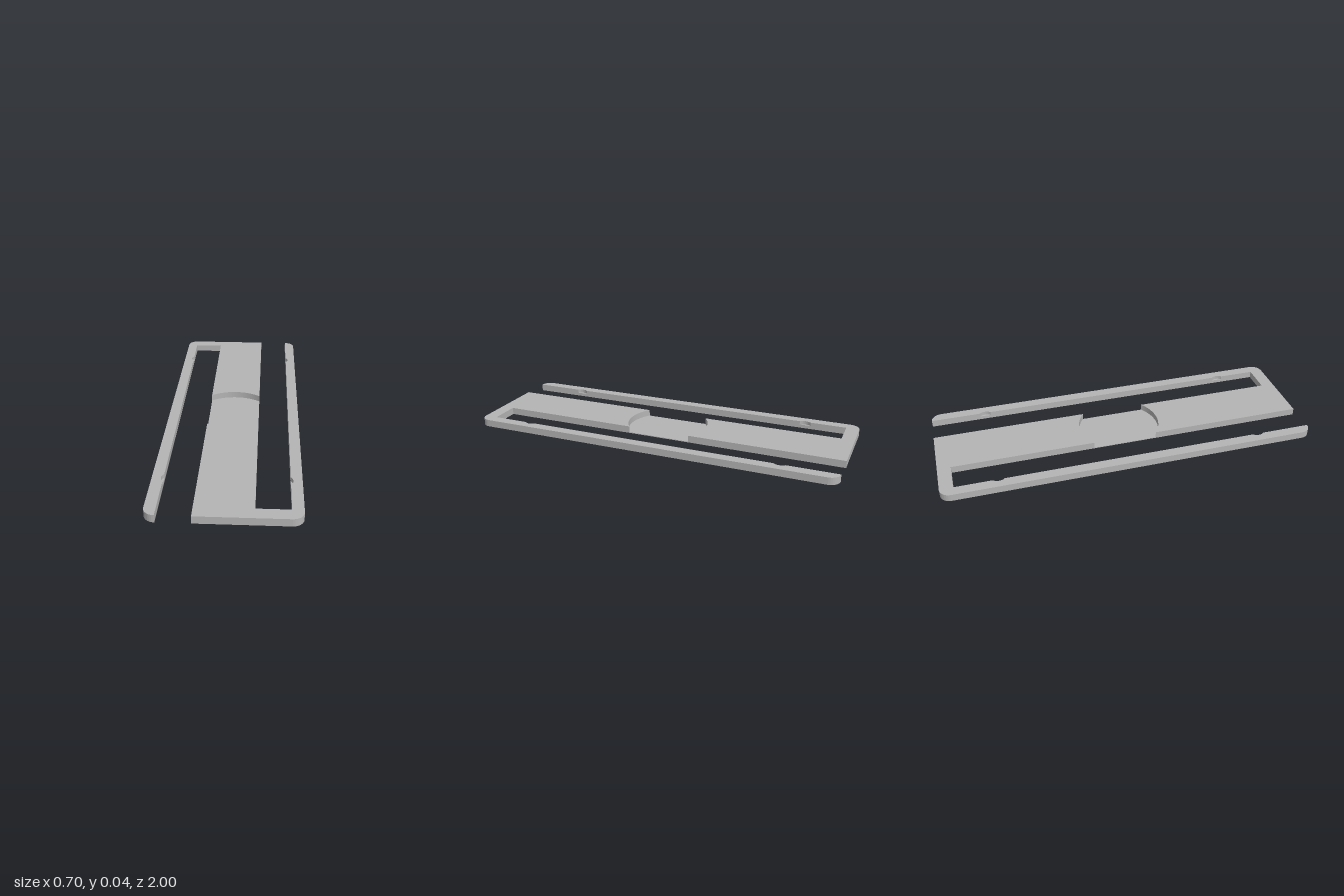
import * as THREE from 'three';
import { toCreasedNormals } from 'three/addons/utils/BufferGeometryUtils.js';

const HEIGHT = 0.038, POCKET_Y = 0.018, FLOOR = 0.004;
const OUTER = 0.352, INNER = 0.297, CORNER = OUTER - INNER;
const PLATE = 0.137, SLOT_END = 0.93, RECESS = 0.22;
const ARC_ANGLE = Math.acos(PLATE / RECESS);
const ARC_Z = RECESS * Math.sin(ARC_ANGLE);

// Extrudes a plan drawn in x, z between two heights
function slab(shape, y0, y1) {
  const g = new THREE.ExtrudeGeometry(shape, { depth: y1 - y0, bevelEnabled: false, curveSegments: 24 });
  g.rotateX(Math.PI / 2);
  g.translate(0, y1, 0);
  return toCreasedNormals(g, 0.5);
}

// One half: plate up to the round recess, end bar and long side arm
function halfOutline(notched) {
  const s = new THREE.Shape();
  s.moveTo(-PLATE, 1);
  s.lineTo(INNER, 1);
  s.absarc(INNER, 1 - CORNER, CORNER, Math.PI / 2, 0, true);
  s.lineTo(OUTER, -1 + CORNER);
  s.absarc(INNER, -1 + CORNER, CORNER, 0, -Math.PI / 2, true);
  if (notched) {
    // Shallow round pockets in the inner edge of the arm
    const half = 0.03, depth = 0.012;
    const r = (half * half + depth * depth) / (2 * depth);
    const a = Math.asin(half / r);
    for (const z of [-0.705, 0.705]) {
      s.lineTo(INNER, z - half);
      s.absarc(INNER + depth - r, z, r, -a, a, false);
    }
  }
  s.lineTo(INNER, SLOT_END);
  s.lineTo(PLATE, SLOT_END);
  s.lineTo(PLATE, ARC_Z);
  s.absarc(0, 0, RECESS, ARC_ANGLE, Math.PI - ARC_ANGLE, false);
  s.closePath();
  return s;
}

export function createModel() {
  const model = new THREE.Group();
  model.name = 'slottedPlate';
  const grey = new THREE.MeshStandardMaterial({ color: 0xb4b4b4 });
  grey.name = 'grey';

  const add = (parent, geometry, name) => {
    const mesh = new THREE.Mesh(geometry, grey);
    mesh.name = name;
    parent.add(mesh);
  };

  // Two identical halves, turned half a circle from each other
  const lower = slab(halfOutline(false), 0, POCKET_Y);
  const upper = slab(halfOutline(true), POCKET_Y, HEIGHT);
  ['frontHalf', 'backHalf'].forEach((name, i) => {
    const half = new THREE.Group();
    half.name = name;
    half.rotation.y = i * Math.PI;
    add(half, lower, 'lowerPlateAndArm');
    add(half, upper, 'upperPlateAndArm');
    model.add(half);
  });

  // Thin floor of the round recess
  const floor = new THREE.Shape();
  floor.moveTo(PLATE, -ARC_Z);
  floor.lineTo(PLATE, ARC_Z);
  floor.absarc(0, 0, RECESS, ARC_ANGLE, Math.PI - ARC_ANGLE, false);
  floor.lineTo(-PLATE, -ARC_Z);
  floor.absarc(0, 0, RECESS, Math.PI + ARC_ANGLE, 2 * Math.PI - ARC_ANGLE, false);
  add(model, slab(floor, 0, FLOOR), 'recessFloor');
  return model;
}
